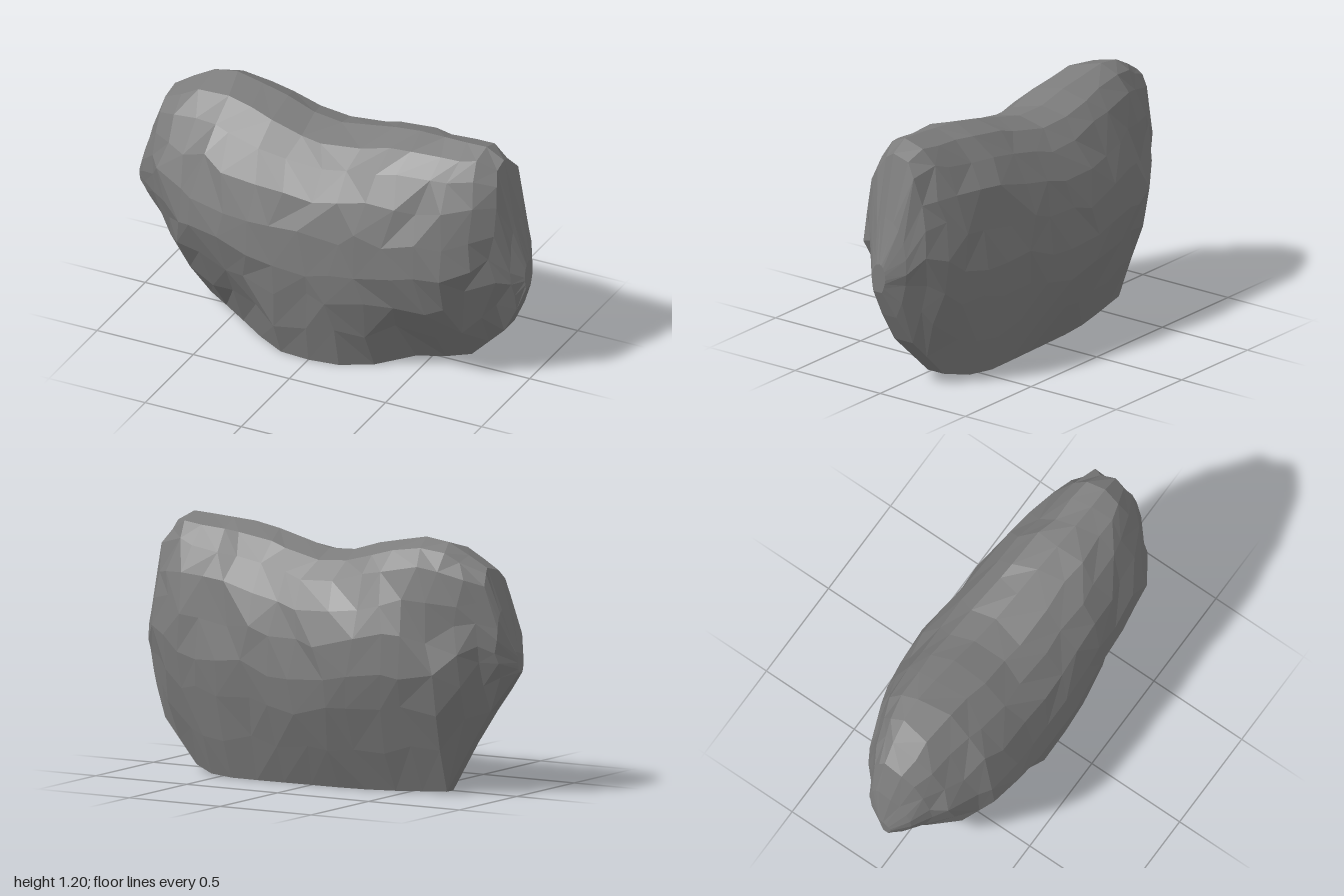
import * as THREE from 'three';

// Upper and lower outline as [x, y] corners
const TOP = [
  [-1, 0.68], [-0.96, 0.84], [-0.88, 1.07], [-0.7, 1.18], [-0.56, 1.2], [-0.3, 1.15],
  [-0.07, 1.08], [0.38, 1.18], [0.79, 1.2], [0.875, 1.15], [0.92, 0.96], [1, 0.64],
];
const BOTTOM = [
  [-1, 0.58], [-0.84, 0.34], [-0.69, 0.01], [-0.4, 0], [0.4, 0], [0.66, 0.01], [0.9, 0.26], [1, 0.5],
];
// Widest outline as [x, z] corners
const FRONT = [
  [-1, 0.06], [-0.97, 0.12], [-0.83, 0.24], [-0.73, 0.31], [-0.5, 0.39],
  [0, 0.39], [0.46, 0.36], [0.73, 0.31], [0.81, 0.21], [1, 0.05],
];
const BACK = [
  [-1, 0.01], [-0.97, -0.08], [-0.73, -0.24], [-0.6, -0.31], [-0.18, -0.395],
  [0.35, -0.35], [0.75, -0.26], [0.92, -0.16], [1, -0.03],
];
// Outline of the underside as [x, z] corners, notched at the front
const FOOT_FRONT = [
  [-1, 0.05], [-0.9, 0.05], [-0.7, -0.06], [-0.48, 0.08], [-0.18, 0.29], [0.1, 0.31],
  [0.34, 0.18], [0.42, 0.05], [0.66, -0.04], [0.9, 0.02], [1, 0.04],
];
const FOOT_BACK = [
  [-1, 0.02], [-0.7, -0.1], [-0.235, -0.2], [0.505, -0.22], [0.66, -0.13], [0.9, -0.09], [1, -0.01],
];
const LEVELS = [0, 0.17, 0.34, 0.48, 0.63, 0.77, 0.89, 0.965, 1];
const STATIONS = 19;

// Small seeded random in -1..1 for the chipped surface
function makeRandom(seed) {
  return () => {
    seed = (seed * 16807) % 2147483647;
    return (seed / 2147483647) * 2 - 1;
  };
}

// Value of an outline at x
function valueAt(outline, x) {
  const i = Math.max(1, outline.findIndex((p) => p[0] >= x));
  const [x0, v0] = outline[i - 1];
  const [x1, v1] = outline[i];
  return v0 + ((v1 - v0) * (x - x0)) / (x1 - x0);
}

// z of one side at height fraction t: widens up to the waist, then rounds over to the ridge
function sideDepth(t, foot, widest, ridge) {
  const waist = 0.48;
  if (t < waist) return foot + ((widest - foot) * Math.sin((t / waist) * 1.3)) / Math.sin(1.3);
  const u = (t - waist) / (1 - waist);
  return ridge + (widest - ridge) * Math.sqrt(Math.max(0, 1 - u * u));
}

// One closed cross-section: up the front, over the ridge and down the back
function buildRing(x, random) {
  const low = valueAt(BOTTOM, x);
  const high = valueAt(TOP, x);
  const front = valueAt(FRONT, x);
  const back = valueAt(BACK, x);
  const ridge = (front - back) * (0.13 * x - 0.06);
  const rough = Math.min(1, (1 - Math.abs(x)) * 4);

  const point = (t, foot, widest) => {
    const chip = t === 0 || t === 1 ? 0 : rough;
    return new THREE.Vector3(
      x + random() * 0.035 * chip,
      low + (high - low) * t + random() * 0.03 * chip * Math.min(1, (1 - t) * 4),
      sideDepth(t, foot, widest, ridge) + random() * 0.01 * chip
    );
  };
  return [
    ...LEVELS.map((t) => point(t, valueAt(FOOT_FRONT, x), front)),
    ...LEVELS.slice(0, -1).reverse().map((t) => point(t, valueAt(FOOT_BACK, x), back)),
  ];
}

function buildBoulderGeometry() {
  const random = makeRandom(4271);
  const rings = [];
  for (let i = 0; i < STATIONS; i++) {
    // Stations gather towards both ends
    const s = (2 * i) / (STATIONS - 1) - 1;
    rings.push(buildRing(0.4 * s + 0.6 * Math.sin((s * Math.PI) / 2), random));
  }
  const n = rings[0].length;
  const positions = [];
  const face = (...pts) => pts.forEach((p) => positions.push(p.x, p.y, p.z));

  // Faceted skin, with diagonals turned irregularly
  for (let i = 0; i < STATIONS - 1; i++) {
    for (let j = 0; j < n; j++) {
      const k = (j + 1) % n;
      const a = rings[i][j], b = rings[i + 1][j], c = rings[i + 1][k], d = rings[i][k];
      if (random() > 0) {
        face(a, b, c);
        face(a, c, d);
      } else {
        face(a, b, d);
        face(b, c, d);
      }
    }
  }

  // End caps
  const cap = (ring, flip) => {
    const centre = ring.reduce((sum, p) => sum.add(p), new THREE.Vector3()).divideScalar(n);
    ring.forEach((p, j) => {
      const q = ring[(j + 1) % n];
      if (flip) face(centre, q, p);
      else face(centre, p, q);
    });
  };
  cap(rings[0], false);
  cap(rings[STATIONS - 1], true);

  const geometry = new THREE.BufferGeometry();
  geometry.setAttribute('position', new THREE.Float32BufferAttribute(positions, 3));
  geometry.computeVertexNormals();
  return geometry;
}

export function createModel() {
  const stone = new THREE.MeshStandardMaterial({ color: 0x7c7c7c });
  stone.name = 'grey stone';
  stone.flatShading = true;

  const boulder = new THREE.Mesh(buildBoulderGeometry(), stone);
  boulder.name = 'boulder';

  const group = new THREE.Group();
  group.name = 'rock';
  group.add(boulder);
  return group;
}
